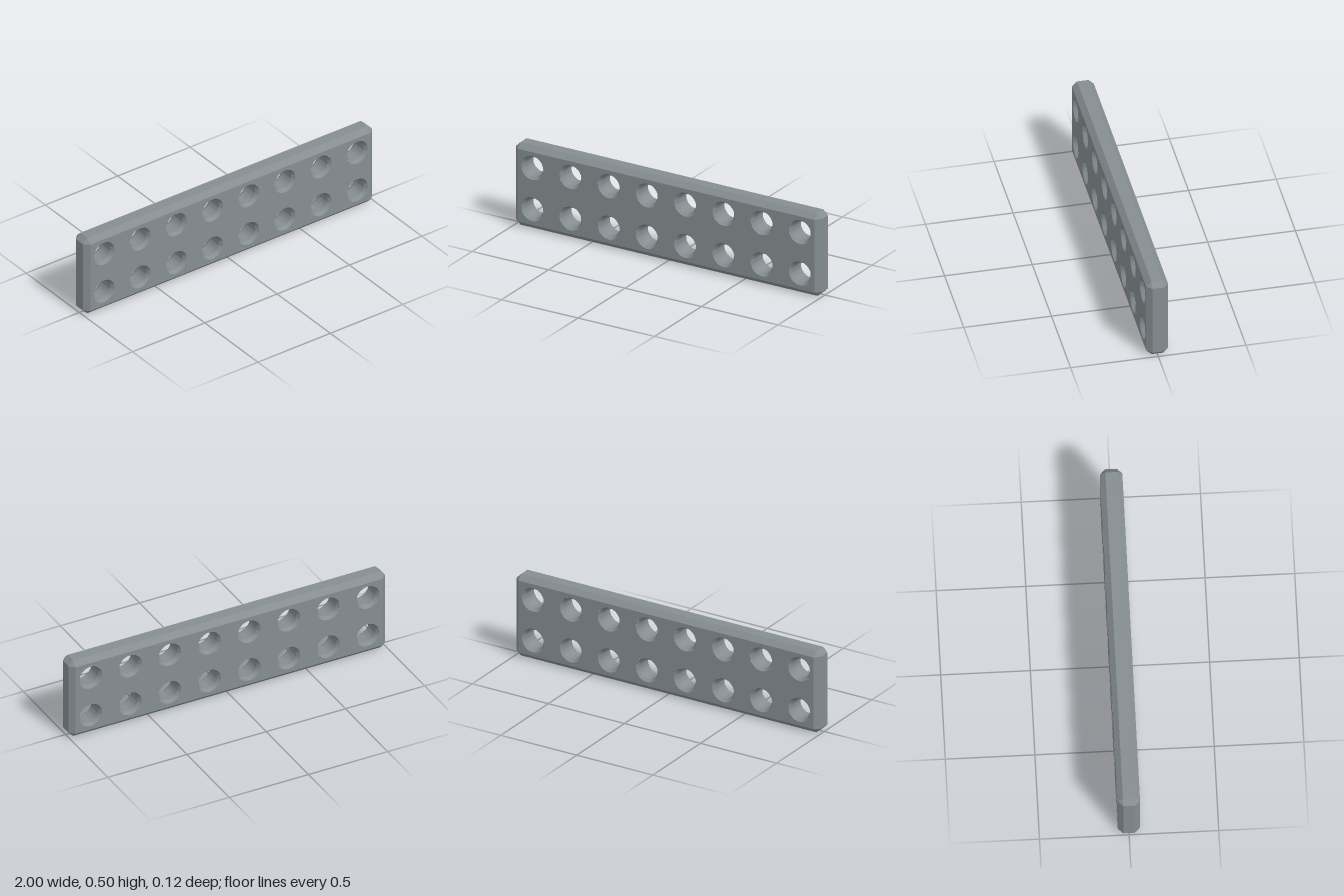
import * as THREE from 'three';
import { toCreasedNormals } from 'three/addons/utils/BufferGeometryUtils.js';

const W = 1, H = 0.25, D = 0.0625;   // half width, height and depth
const C = 0.03;                      // edge chamfer
const PITCH = 0.25, COLS = 8, ROWS = 2;
const R_BORE = 0.058, R_RIM = 0.072, SINK = 0.02, SEGS = 48;

// Eight-point ring, counter-clockwise; cut = 0 gives chamfered corners, cut = C an inset rectangle
function ring(z, cut) {
  const a = W - C, b = H - C, X = W - cut, Y = H - cut;
  return [[X, -b], [X, b], [a, Y], [-a, Y], [-X, b], [-X, -b], [-a, -Y], [a, -Y]]
    .map(([x, y]) => new THREE.Vector3(x, y, z));
}

// Outer band: loft through the rings from front to back
function rimGeometry() {
  const rings = [ring(D, C), ring(D - C, 0), ring(C - D, 0), ring(-D, C)];
  const pos = [];
  const tri = (p, q, r) => {
    if (p.equals(q) || q.equals(r) || r.equals(p)) return;
    for (const v of [p, q, r]) pos.push(v.x, v.y, v.z);
  };
  for (let i = 0; i < rings.length - 1; i++) {
    const A = rings[i], B = rings[i + 1];
    for (let j = 0; j < 8; j++) {
      const k = (j + 1) % 8;
      tri(A[j], B[j], A[k]);
      tri(B[j], B[k], A[k]);
    }
  }
  const g = new THREE.BufferGeometry();
  g.setAttribute('position', new THREE.Float32BufferAttribute(pos, 3));
  g.computeVertexNormals();
  return g;
}

// Flat face pierced by the grid of holes
function faceGeometry(centers) {
  const a = W - C, b = H - C;
  const shape = new THREE.Shape([[-a, -b], [a, -b], [a, b], [-a, b]].map(p => new THREE.Vector2(...p)));
  for (const [x, y] of centers) shape.holes.push(new THREE.Path().absarc(x, y, R_RIM, 0, Math.PI * 2, true));
  return new THREE.ShapeGeometry(shape, SEGS);
}

// Through bore with a countersink at both ends, walls facing inward
function boreGeometry() {
  const profile = [[R_RIM, D], [R_BORE, D - SINK], [R_BORE, SINK - D], [R_RIM, -D]]
    .map(p => new THREE.Vector2(...p));
  const g = new THREE.LatheGeometry(profile, SEGS).rotateX(Math.PI / 2);
  return toCreasedNormals(g, 0.4);
}

export function createModel() {
  const model = new THREE.Group();
  model.name = 'perforatedPlate';
  const material = new THREE.MeshStandardMaterial({ color: 0x868e92 });
  const plate = new THREE.Group();
  plate.name = 'plate';
  plate.position.y = H;
  model.add(plate);

  const add = (name, geometry) => {
    const mesh = new THREE.Mesh(geometry, material);
    mesh.name = name;
    plate.add(mesh);
    return mesh;
  };

  const centers = [];
  for (let r = 0; r < ROWS; r++)
    for (let c = 0; c < COLS; c++)
      centers.push([(c - (COLS - 1) / 2) * PITCH, (r - (ROWS - 1) / 2) * PITCH]);

  add('chamferedRim', rimGeometry());

  const face = faceGeometry(centers);
  add('frontFace', face).position.z = D;
  const back = add('backFace', face);
  back.position.z = -D;
  back.rotation.y = Math.PI;

  const bore = boreGeometry();
  for (const [x, y] of centers) add('hole', bore).position.set(x, y, 0);

  return model;
}
